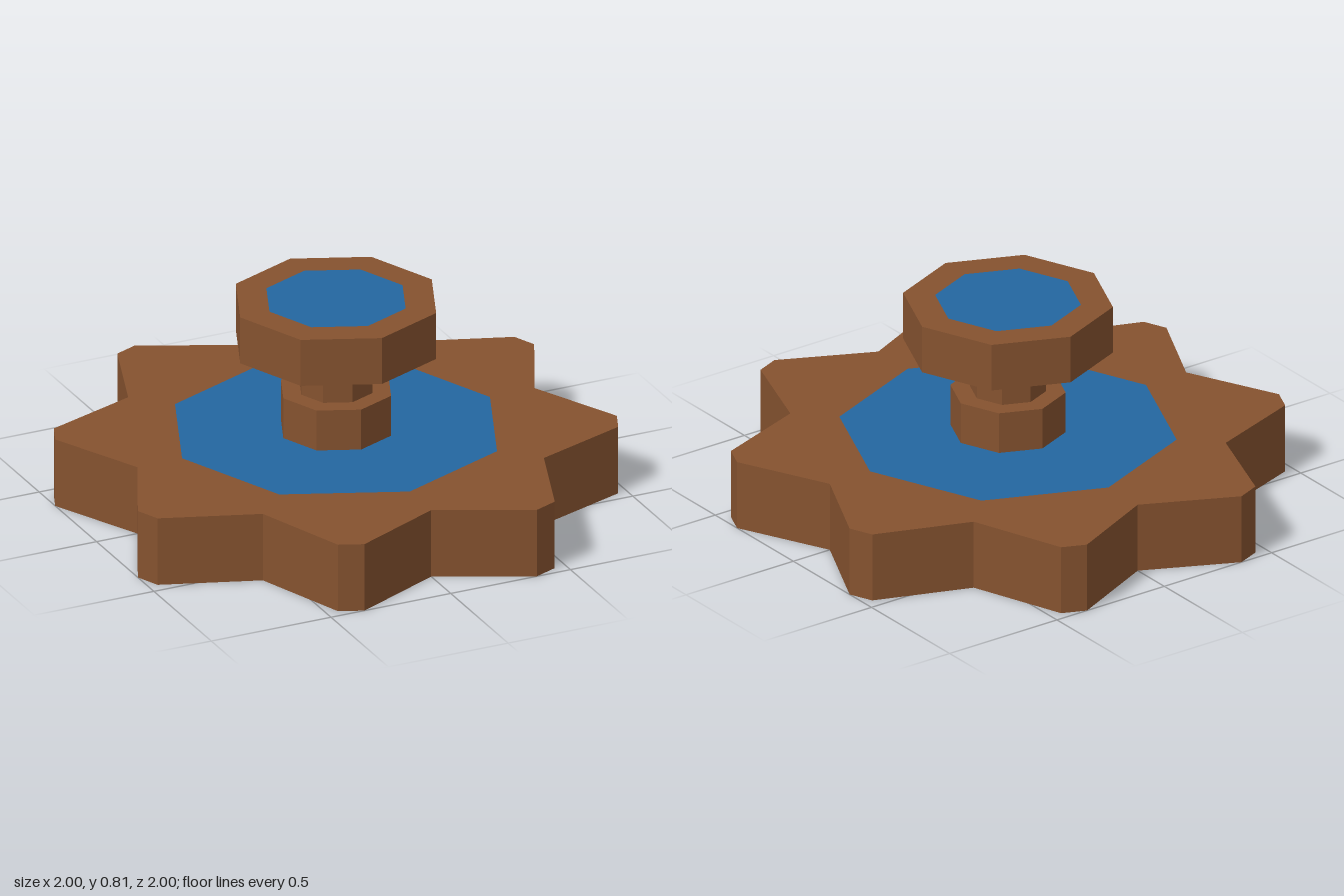
import * as THREE from 'three';

// Regular octagon with corners on the axes
const octagon = (r) => Array.from({ length: 8 }, (_, i) => {
  const a = (i * Math.PI) / 4;
  return new THREE.Vector2(r * Math.cos(a), r * Math.sin(a));
});

// Eight-pointed star with blunt tips
const star = (scale = 1) => {
  const points = [];
  for (let i = 0; i < 8; i++) {
    for (const [deg, r] of [[0, 0.83], [19.8, 1.063], [25.2, 1.063]]) {
      const a = THREE.MathUtils.degToRad(i * 45 + deg);
      points.push(new THREE.Vector2(r * scale * Math.cos(a), r * scale * Math.sin(a)));
    }
  }
  return points;
};

// Vertical wall of quads following a closed outline
function wallGeometry(outline, y0, y1) {
  const positions = [];
  outline.forEach((p, i) => {
    const q = outline[(i + 1) % outline.length];
    const a = [p.x, y0, -p.y], b = [q.x, y0, -q.y];
    const c = [q.x, y1, -q.y], d = [p.x, y1, -p.y];
    positions.push(...a, ...b, ...c, ...a, ...c, ...d);
  });
  const geometry = new THREE.BufferGeometry();
  geometry.setAttribute('position', new THREE.Float32BufferAttribute(positions, 3));
  geometry.computeVertexNormals();
  return geometry;
}

// Horizontal plate at height y, with an optional hole, facing up or down
function plateGeometry(outline, hole, y, faceDown = false) {
  const shape = new THREE.Shape(outline);
  if (hole) shape.holes.push(new THREE.Path(hole));
  const geometry = new THREE.ShapeGeometry(shape);
  geometry.rotateX(faceDown ? Math.PI / 2 : -Math.PI / 2);
  geometry.translate(0, y, 0);
  return geometry;
}

export function createModel() {
  const brown = new THREE.MeshStandardMaterial({ color: 0x85522f, side: THREE.DoubleSide, flatShading: true });
  brown.name = 'brown';
  const blue = new THREE.MeshStandardMaterial({ color: 0x2366a0, side: THREE.DoubleSide, flatShading: true });
  blue.name = 'waterBlue';

  const model = new THREE.Group();
  model.name = 'fountain';
  const add = (name, geometry, material = brown) => {
    const mesh = new THREE.Mesh(geometry, material);
    mesh.name = name;
    model.add(mesh);
  };

  // Heights of the tiers
  const base = 0.275, step = 0.44, neck = 0.62, top = 0.81;

  // Hollow star basin with a lip around its open underside
  add('basinWall', wallGeometry(star(), 0, base));
  add('basinLip', plateGeometry(star(), star(0.925), 0, true));
  add('basinTop', plateGeometry(star(), octagon(0.643), base));
  add('basinWater', plateGeometry(octagon(0.643), octagon(0.22), base), blue);

  // Hollow stepped column
  add('lowerColumn', wallGeometry(octagon(0.22), base, step));
  add('columnStep', plateGeometry(octagon(0.22), octagon(0.145), step));
  add('upperColumn', wallGeometry(octagon(0.145), step, neck));

  // Upper bowl
  add('bowlUnderside', plateGeometry(octagon(0.4), octagon(0.145), neck, true));
  add('bowlWall', wallGeometry(octagon(0.4), neck, top));
  add('bowlRim', plateGeometry(octagon(0.4), octagon(0.278), top));
  add('bowlWater', plateGeometry(octagon(0.278), null, top), blue);

  return model;
}
